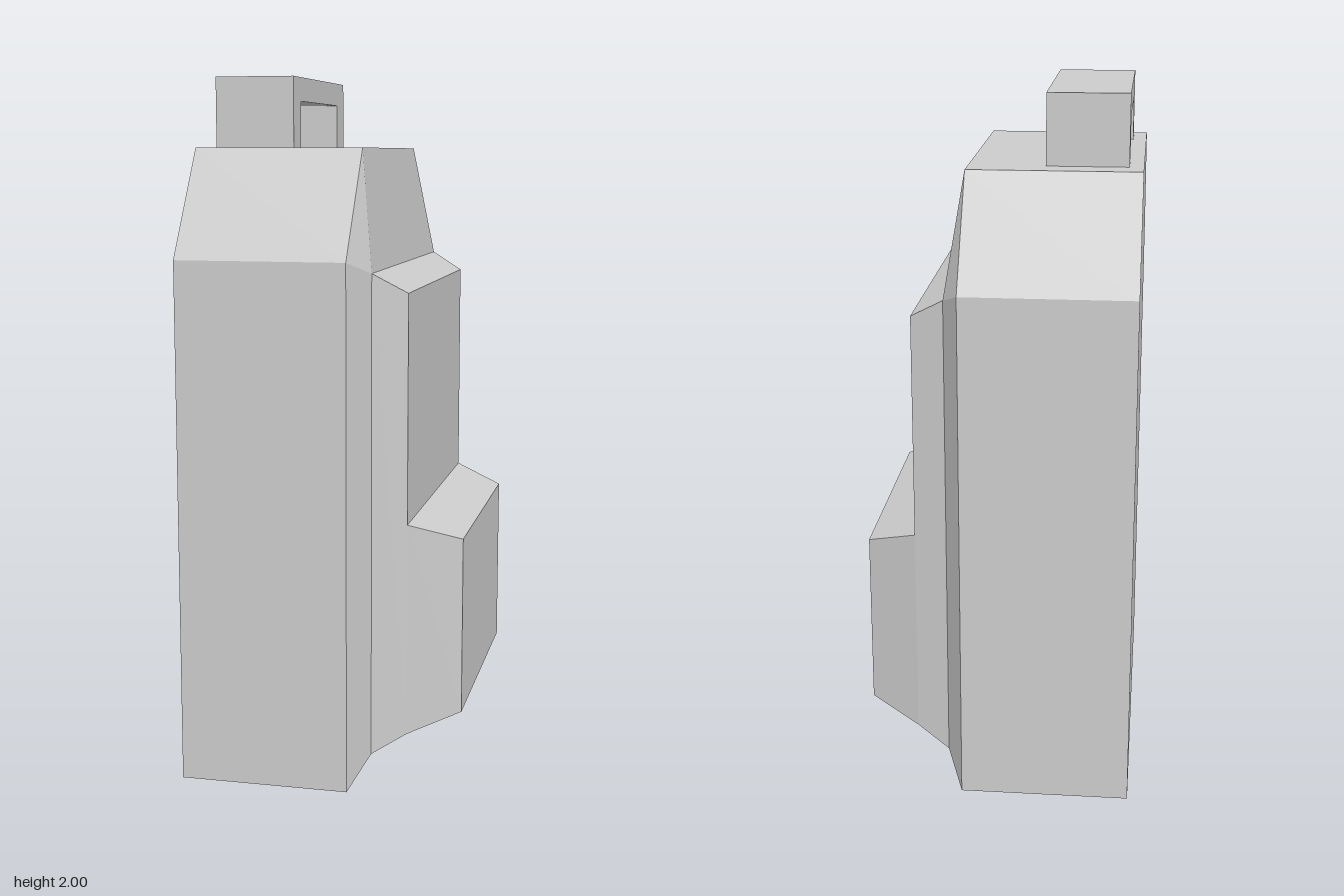
import * as THREE from 'three';

// Skin a closed solid through cross-sections stacked along x.
// Each section is { x, loop: [[z, y], ...] }, counter-clockwise seen from +x.
function loft(sections) {
  const pos = [];
  const rings = sections.map(({ x, loop }) => loop.map(([z, y]) => new THREE.Vector3(x, y, z)));
  const tri = (a, b, c) => {
    if (a.equals(b) || b.equals(c) || a.equals(c)) return; // merged corners
    for (const p of [a, b, c]) pos.push(p.x, p.y, p.z);
  };
  const n = rings[0].length;
  for (let s = 0; s < rings.length - 1; s++) {
    const a = rings[s], b = rings[s + 1];
    for (let i = 0; i < n; i++) {
      const j = (i + 1) % n;
      tri(a[i], a[j], b[j]);
      tri(a[i], b[j], b[i]);
    }
  }
  const first = rings[0], last = rings[rings.length - 1];
  for (let i = 1; i < n - 1; i++) {
    tri(first[0], first[i + 1], first[i]);
    tri(last[0], last[i], last[i + 1]);
  }
  const geo = new THREE.BufferGeometry();
  geo.setAttribute('position', new THREE.Float32BufferAttribute(pos, 3));
  geo.computeVertexNormals();
  return geo;
}

// Symmetric outline: bottom edge, shoulder corners, top corners
const outline = (w, y0, yShoulder, wTop, yTop) => [
  [w, y0], [-w, y0], [-w, yShoulder], [-wTop, yTop], [wTop, yTop], [w, yShoulder],
];
const rect = (w, y0, y1) => [[w, y0], [-w, y0], [-w, y1], [w, y1]];

export function createModel() {
  const group = new THREE.Group();
  const grey = new THREE.MeshStandardMaterial({ color: 0xcccccc });
  grey.name = 'plain grey';
  const add = (name, geo) => {
    const mesh = new THREE.Mesh(geo, grey);
    mesh.name = name;
    group.add(mesh);
    return mesh;
  };

  // Main shell with sloped shoulders, bevelled into a rectangular panel
  add('shell', loft([
    { x: -0.39, loop: outline(0.588, 0, 1.495, 0.38, 1.8) },
    { x: 0.096, loop: outline(0.588, 0, 1.495, 0.38, 1.8) },
    { x: 0.146, loop: outline(0.49, 0.08, 1.46, 0.49, 1.46) },
    { x: 0.242, loop: outline(0.455, 0.135, 1.405, 0.455, 1.405) },
  ]));

  // Tapered lower pocket
  add('pocket', loft([
    { x: 0.242, loop: rect(0.455, 0.135, 0.752) },
    { x: 0.39, loop: rect(0.383, 0.188, 0.702) },
  ]));

  // Carry handle: an upside-down U extruded across x
  const u = new THREE.Shape([
    [-0.31, 1.8], [-0.23, 1.8], [-0.23, 1.932], [0.215, 1.932],
    [0.215, 1.8], [0.302, 1.8], [0.302, 2], [-0.31, 2],
  ].map(([a, b]) => new THREE.Vector2(a, b)));
  const handle = add('handle', new THREE.ExtrudeGeometry(u, { depth: 0.23, bevelEnabled: false }));
  handle.rotation.y = Math.PI / 2; // shape x becomes -z, depth becomes x
  handle.position.x = -0.35;

  return group;
}
